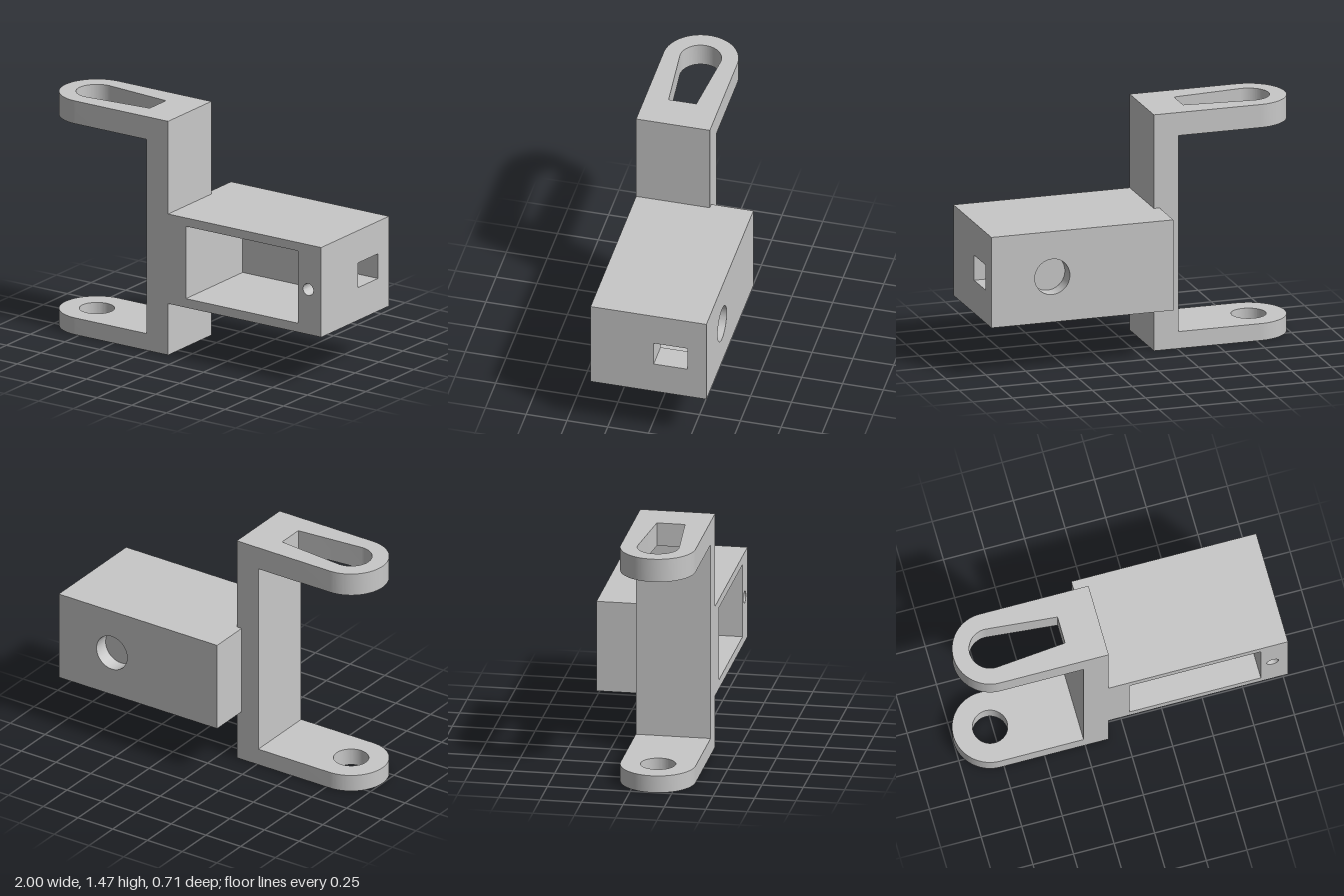
import * as THREE from 'three';
import { toCreasedNormals } from 'three/addons/utils/BufferGeometryUtils.js';

const material = new THREE.MeshStandardMaterial({ color: 0xc8c8c8 });
material.name = 'light grey';

// Arm and plate limits
const PLATE_L = -0.26, PLATE_R = -0.105, Z_FRONT = 0.355, Z_PLATE = -0.097, HEIGHT = 1.465;
const PIVOT_X = -0.774, PIVOT_Z = 0.129, ARM_R = 0.226;
// Housing limits
const HX0 = -0.14, HX1 = 1, HY0 = 0.322, HY1 = 0.884, MID_Y = 0.603;
const CX0 = 0.023, CX1 = 0.833, CY0 = 0.378, CY1 = 0.831;

function polygon(points, Type = THREE.Shape) {
  return new Type(points.map(([x, y]) => new THREE.Vector2(x, y)));
}

function rect(x0, x1, y0, y1, Type) {
  return polygon([[x0, y0], [x1, y0], [x1, y1], [x0, y1]], Type);
}

function circle(x, y, r) {
  return new THREE.Path().absarc(x, y, r, 0, Math.PI * 2, true);
}

function extrude(shape, depth) {
  const geometry = new THREE.ExtrudeGeometry(shape, { depth, bevelEnabled: false, curveSegments: 40 });
  return toCreasedNormals(geometry, 0.5);
}

function addMesh(parent, name, geometry) {
  const mesh = new THREE.Mesh(geometry, material);
  mesh.name = name;
  parent.add(mesh);
  return mesh;
}

// Round-ended horizontal arm with one opening
function addArm(parent, name, hole, y0, y1) {
  const shape = new THREE.Shape();
  shape.moveTo(PLATE_L, -PIVOT_Z + ARM_R);
  shape.lineTo(PIVOT_X, -PIVOT_Z + ARM_R);
  shape.absarc(PIVOT_X, -PIVOT_Z, ARM_R, Math.PI / 2, Math.PI * 1.5, false);
  shape.lineTo(PLATE_L, -PIVOT_Z - ARM_R);
  shape.closePath();
  shape.holes.push(hole);
  const geometry = extrude(shape, y1 - y0).rotateX(-Math.PI / 2);
  addMesh(parent, name, geometry).position.y = y0;
}

// Tapered slot that takes a servo horn
function hornSlot() {
  const tangent = THREE.MathUtils.degToRad(84.5);
  const path = new THREE.Path();
  path.absarc(PIVOT_X, -PIVOT_Z, 0.125, tangent, Math.PI * 2 - tangent, false);
  path.lineTo(-0.335, -PIVOT_Z - 0.085);
  path.lineTo(-0.335, -PIVOT_Z + 0.085);
  path.closePath();
  return path;
}

function createBracket() {
  const bracket = new THREE.Group();
  bracket.name = 'bracket';
  const plate = addMesh(bracket, 'uprightPlate',
    new THREE.BoxGeometry(PLATE_R - PLATE_L, HEIGHT, Z_FRONT - Z_PLATE));
  plate.position.set((PLATE_L + PLATE_R) / 2, HEIGHT / 2, (Z_FRONT + Z_PLATE) / 2);
  addArm(bracket, 'upperArm', hornSlot(), 1.322, HEIGHT);
  addArm(bracket, 'lowerArm', circle(PIVOT_X, -PIVOT_Z, 0.105), 0, 0.105);
  return bracket;
}

// Housing built in layers along z, each with its own openings
function createHousing() {
  const housing = new THREE.Group();
  housing.name = 'housing';
  const layer = (name, shape, z0, z1, holes = []) => {
    shape.holes.push(...holes);
    addMesh(housing, name, extrude(shape, z1 - z0)).position.z = z0;
  };
  const cavity = () => rect(CX0, CX1, CY0, CY1, THREE.Path);
  const outline = (x0) => rect(x0, HX1, HY0, HY1);

  // Cavity rim with two blind screw holes
  layer('housingRim', outline(PLATE_R), 0.055, Z_FRONT, [cavity(), circle(0.906, MID_Y, 0.037)]);
  layer('housingWalls', outline(PLATE_R), -0.032, 0.055, [cavity()]);

  // Walls with a cable opening through the end
  const slotY0 = 0.526, slotY1 = 0.681;
  layer('cableOpeningWalls', polygon([
    [HX0, HY0], [HX1, HY0], [HX1, slotY0], [CX1, slotY0], [CX1, CY0], [CX0, CY0],
    [CX0, CY1], [CX1, CY1], [CX1, slotY1], [HX1, slotY1], [HX1, HY1], [HX0, HY1],
  ]), -0.24, -0.032);

  // Closed rear wall with a shallow round recess
  layer('rearWall', outline(HX0), -0.26, -0.24);
  layer('rearRecess', outline(HX0), -0.355, -0.26, [circle(0.618, MID_Y, 0.11)]);
  return housing;
}

export function createModel() {
  const model = new THREE.Group();
  model.name = 'servoBracket';
  model.add(createBracket(), createHousing());
  return model;
}
